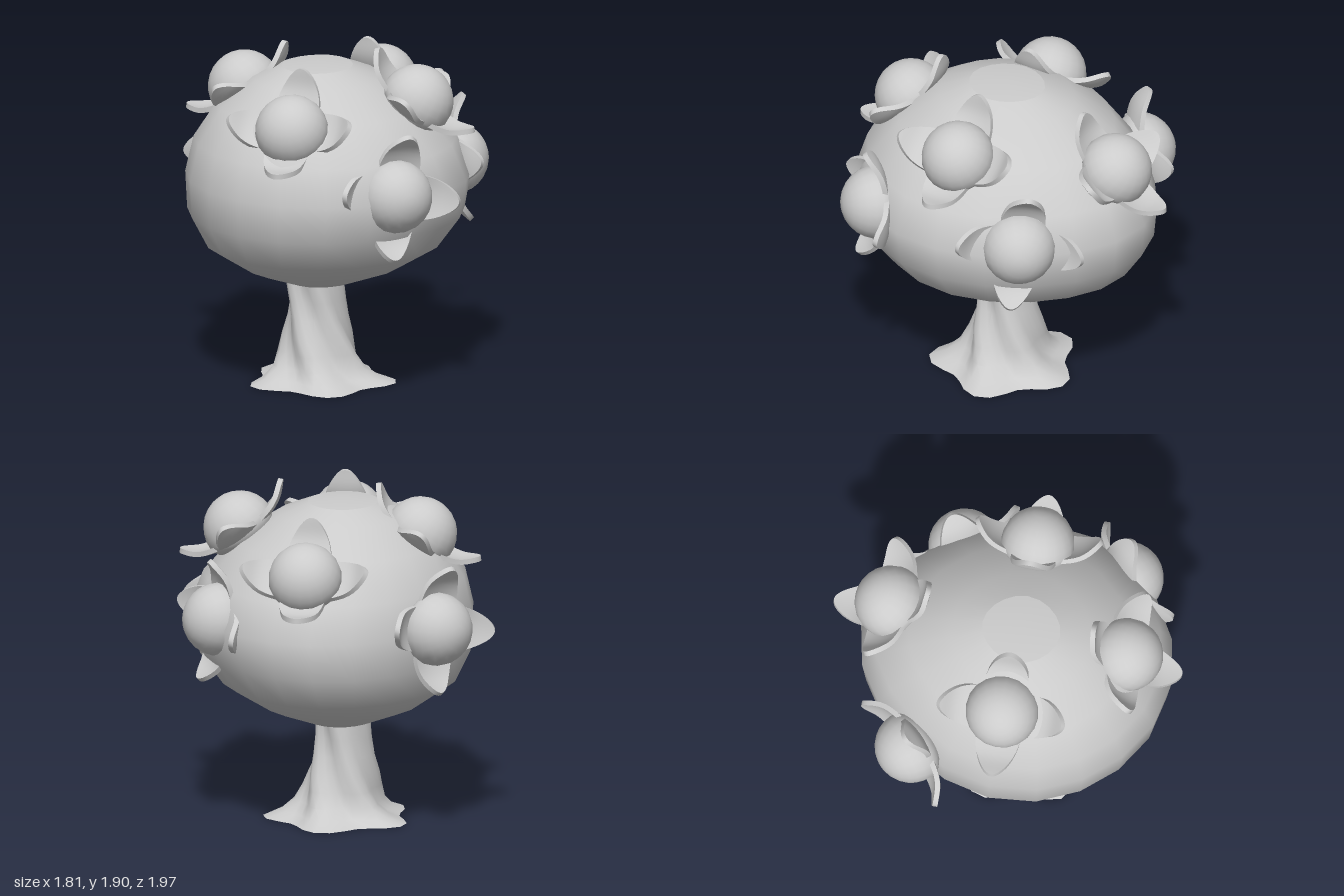
import * as THREE from 'three';
import { toCreasedNormals } from 'three/addons/utils/BufferGeometryUtils.js';

const grey = new THREE.MeshStandardMaterial({ color: 0xcccccc });
const greyOpen = new THREE.MeshStandardMaterial({ color: 0xcccccc, side: THREE.DoubleSide });

// Move every vertex of a geometry by a rule, then rebuild its normals
function reshape(geometry, rule, crease) {
  const p = geometry.attributes.position;
  const v = new THREE.Vector3();
  for (let i = 0; i < p.count; i++) {
    v.fromBufferAttribute(p, i);
    rule(v);
    p.setXYZ(i, v.x, v.y, v.z);
  }
  return toCreasedNormals(geometry, crease);
}

function part(name, geometry, material = grey) {
  const mesh = new THREE.Mesh(geometry, material);
  mesh.name = name;
  return mesh;
}

const profile = (pairs) => pairs.map(([r, y]) => new THREE.Vector2(r, y));

// Section of the crown: egg-shaped in plan, narrower at the back, drifting with height
function crownGeometry(pairs) {
  return reshape(new THREE.LatheGeometry(profile(pairs), 20), (v) => {
    const top = THREE.MathUtils.smoothstep(v.y, 1.18, 1.78);
    const low = 1 - THREE.MathUtils.smoothstep(v.y, 0.56, 1.18);
    const diagonal = 1 - 0.025 * Math.sin(2 * Math.atan2(v.x, v.z)) ** 2;
    v.x = v.x * diagonal * 0.785 * (1 + 0.07 * v.z) + 0.035 - 0.065 * top - 0.055 * low;
    v.z = v.z * diagonal * 0.87 + 0.05 + 0.04 * top;
  }, 1);
}

const crownRings = [
  [0.24, 0.56], [0.57, 0.66], [0.83, 0.79], [0.97, 0.97], [1, 1.18],
  [0.92, 1.38], [0.72, 1.575], [0.45, 1.72], [0.25, 1.785],
];

// Twisted trunk with root lobes flaring at the ground
function trunkGeometry() {
  const points = profile([
    [0.375, 0], [0.295, 0.035], [0.235, 0.09], [0.205, 0.17], [0.185, 0.26],
    [0.16, 0.36], [0.15, 0.46], [0.15, 0.56], [0.15, 0.64],
  ]);
  return reshape(new THREE.LatheGeometry(points, 30), (v) => {
    const angle = Math.atan2(v.x, v.z) - 0.47;
    const lobe = 1 + (0.1 + 0.03 * Math.max(0, 1 - v.y / 0.3)) * Math.cos(5 * (angle + 2.5 * v.y));
    v.x = v.x * lobe - 0.01 - 0.06 * v.y;
    v.z = v.z * lobe + 0.09;
  }, 0.9);
}

// Dome with a shallower underside
function domeGeometry() {
  return reshape(new THREE.SphereGeometry(0.203, 20, 14), (v) => {
    if (v.y < 0) v.y *= 0.6;
  }, 0.9);
}

// Curled petal growing along +z, thin and cupped, with a narrow rounded tip
function petalGeometry() {
  const spine = new THREE.CatmullRomCurve3(
    [[0.08, -0.05], [0.18, -0.025], [0.27, 0.015], [0.35, 0.09]]
      .map(([r, h]) => new THREE.Vector3(0, h, r)));
  return reshape(new THREE.BoxGeometry(2, 1, 1, 6, 1, 12), (v) => {
    const u = Math.sin((v.z + 0.5) * Math.PI / 2);
    const half = 0.13 * (1 - 0.5 * u * u) * Math.sqrt(1 - u ** 6);
    const centre = spine.getPoint(u);
    const along = spine.getTangent(u);
    const lift = v.y * 0.028 + 0.03 * v.x * v.x * (1 - u);
    v.set(v.x * half, centre.y + along.z * lift, centre.z - along.y * lift);
  }, 0.7);
}

// Blooms: position of the dome base, outward direction, turn about that direction
const blooms = [
  [[0.02, 1.55, 0.67], [0.03, 0.71, 0.71], 0],
  [[-0.46, 1.62, 0.07], [-0.58, 0.81, 0], 0],
  [[0.54, 1.62, 0.07], [0.6, 0.8, 0], 0],
  [[0.08, 1.52, -0.66], [0.02, 0.76, -0.65], 0],
  [[0.585, 1.2, 0.56], [0.68, 0.03, 0.73], -0.15],
  [[0.6, 1.2, -0.35], [0.84, 0.03, -0.54], -0.15],
  [[-0.61, 1.2, -0.41], [-0.73, 0.03, -0.68], -0.15],
];

export function createModel() {
  const model = new THREE.Group();
  model.name = 'bloomingTree';
  model.add(
    part('trunk', trunkGeometry(), greyOpen),
    part('crown', crownGeometry(crownRings)),
    part('crownTop', crownGeometry([crownRings.at(-1), [0, 1.805]])),
    part('crownBase', crownGeometry([[0, 0.56], crownRings[0]])),
  );

  const dome = domeGeometry();
  const petal = petalGeometry();
  for (const [position, direction, turn] of blooms) {
    const bloom = new THREE.Group();
    bloom.name = 'bloom';
    // Local y points outward, local z points down the crown
    const out = new THREE.Vector3(...direction).normalize();
    const side = new THREE.Vector3(0, 1, 0).cross(out).normalize();
    const down = new THREE.Vector3().crossVectors(side, out);
    bloom.quaternion.setFromRotationMatrix(new THREE.Matrix4().makeBasis(side, out, down));
    bloom.rotateY(turn);
    bloom.position.set(...position);
    bloom.add(part('bloomDome', dome));
    for (let i = 0; i < 4; i++) {
      const leaf = part('petal', petal, greyOpen);
      leaf.rotation.y = i * Math.PI / 2;
      bloom.add(leaf);
    }
    model.add(bloom);
  }
  return model;
}
